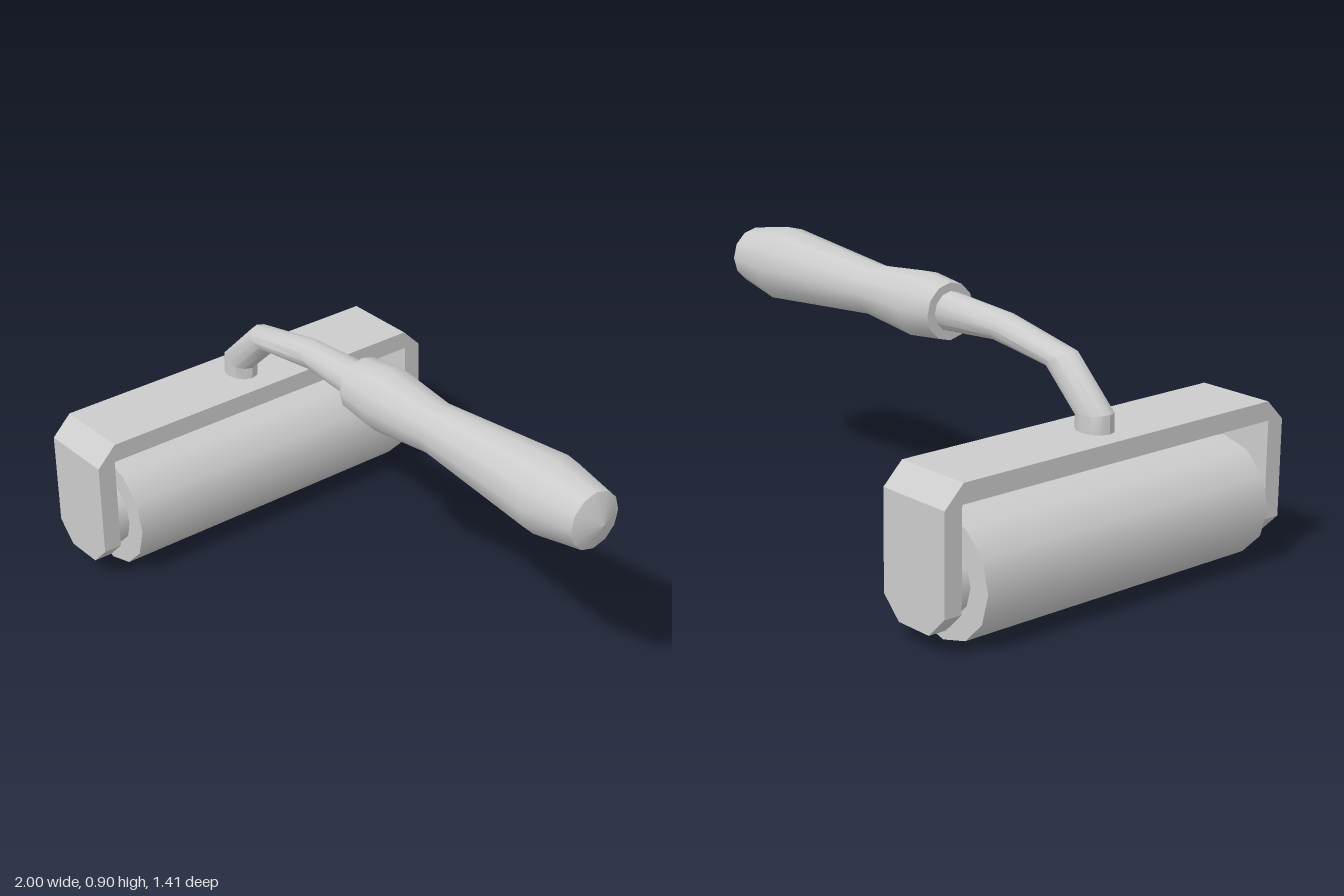
import * as THREE from 'three';
import { toCreasedNormals } from 'three/addons/utils/BufferGeometryUtils.js';

const SIDES = 12;
const ROLLER_X = -0.803;
const ROLLER_Y = 0.2;
const HANDLE_Y = 0.772;
const CREASE = 0.6;

const material = new THREE.MeshStandardMaterial({ color: 0xcccccc });

function addMesh(group, name, geometry) {
  const mesh = new THREE.Mesh(geometry, material);
  mesh.name = name;
  group.add(mesh);
  return mesh;
}

function extrude(points, depth) {
  const shape = new THREE.Shape(points.map(([x, y]) => new THREE.Vector2(x, y)));
  return new THREE.ExtrudeGeometry(shape, { depth, bevelEnabled: false });
}

// Cylinder lying along z on the roller's axis
function rollerCylinder(radius, length) {
  const geometry = new THREE.CylinderGeometry(radius, radius, length, SIDES);
  return geometry.rotateX(Math.PI / 2).translate(ROLLER_X, ROLLER_Y, 0);
}

// Skin over elliptical rings: [upper x, upper y, lower x, lower y, half width in z]
function loft(rings) {
  const positions = [];
  const index = [];
  rings.forEach(([ax, ay, bx, by, halfZ], i) => {
    for (let j = 0; j < SIDES; j++) {
      const a = (j / SIDES) * Math.PI * 2;
      const c = Math.cos(a) / 2;
      positions.push(
        (ax + bx) / 2 + (ax - bx) * c,
        (ay + by) / 2 + (ay - by) * c,
        halfZ * Math.sin(a)
      );
      if (i === 0) continue;
      const k = (j + 1) % SIDES;
      const low = (i - 1) * SIDES;
      const high = i * SIDES;
      index.push(low + j, low + k, high + k, low + j, high + k, high + j);
    }
  });
  const geometry = new THREE.BufferGeometry();
  geometry.setAttribute('position', new THREE.Float32BufferAttribute(positions, 3));
  geometry.setIndex(index);
  return toCreasedNormals(geometry, CREASE);
}

export function createModel() {
  const model = new THREE.Group();
  model.name = 'handRoller';

  // Roller drum and its narrower axle
  addMesh(model, 'rollerDrum', rollerCylinder(0.2, 1.18));
  addMesh(model, 'rollerAxle', rollerCylinder(0.122, 1.3));

  // U-shaped bracket with chamfered top corners, swept across x
  const x0 = -0.945;
  const x1 = -0.667;
  const bracket = new THREE.Group();
  bracket.name = 'bracket';
  model.add(bracket);
  const yoke = extrude([
    [-0.705, 0.135], [-0.64, 0.135], [-0.64, 0.47], [0.64, 0.47], [0.64, 0.135],
    [0.705, 0.135], [0.705, 0.465], [0.635, 0.535], [-0.635, 0.535], [-0.705, 0.465],
  ], x1 - x0);
  addMesh(bracket, 'yoke', yoke.rotateY(Math.PI / 2).translate(x0, 0, 0));

  // Tapered tips at the bottom of both arms
  for (const z of [-0.705, 0.64]) {
    const tip = extrude([
      [x0, 0.135], [x0 + 0.07, 0.065], [x1 - 0.07, 0.065], [x1, 0.135],
    ], 0.065);
    addMesh(bracket, 'armTip', tip.translate(0, 0, z));
  }

  // Bent neck rising from the bracket into the handle
  addMesh(model, 'neck', loft([
    [-0.88, 0.52, -0.745, 0.52, 0.055],
    [-0.88, 0.597, -0.745, 0.575, 0.055],
    [-0.71, 0.76, -0.615, 0.697, 0.055],
    [-0.41, 0.822, -0.37, 0.727, 0.055],
    [-0.1, 0.842, -0.1, 0.705, 0.067],
  ]));

  // Turned handle lying along x, with a shallow cone at the end
  const profile = [
    [0, -0.13], [0.097, -0.13], [0.112, 0.005], [0.087, 0.25],
    [0.132, 0.77], [0.098, 0.96], [0, 1],
  ].map(([r, x]) => new THREE.Vector2(r, x));
  const handle = new THREE.LatheGeometry(profile, SIDES);
  handle.rotateZ(-Math.PI / 2).translate(0, HANDLE_Y, 0);
  addMesh(model, 'handle', toCreasedNormals(handle, CREASE));

  return model;
}
